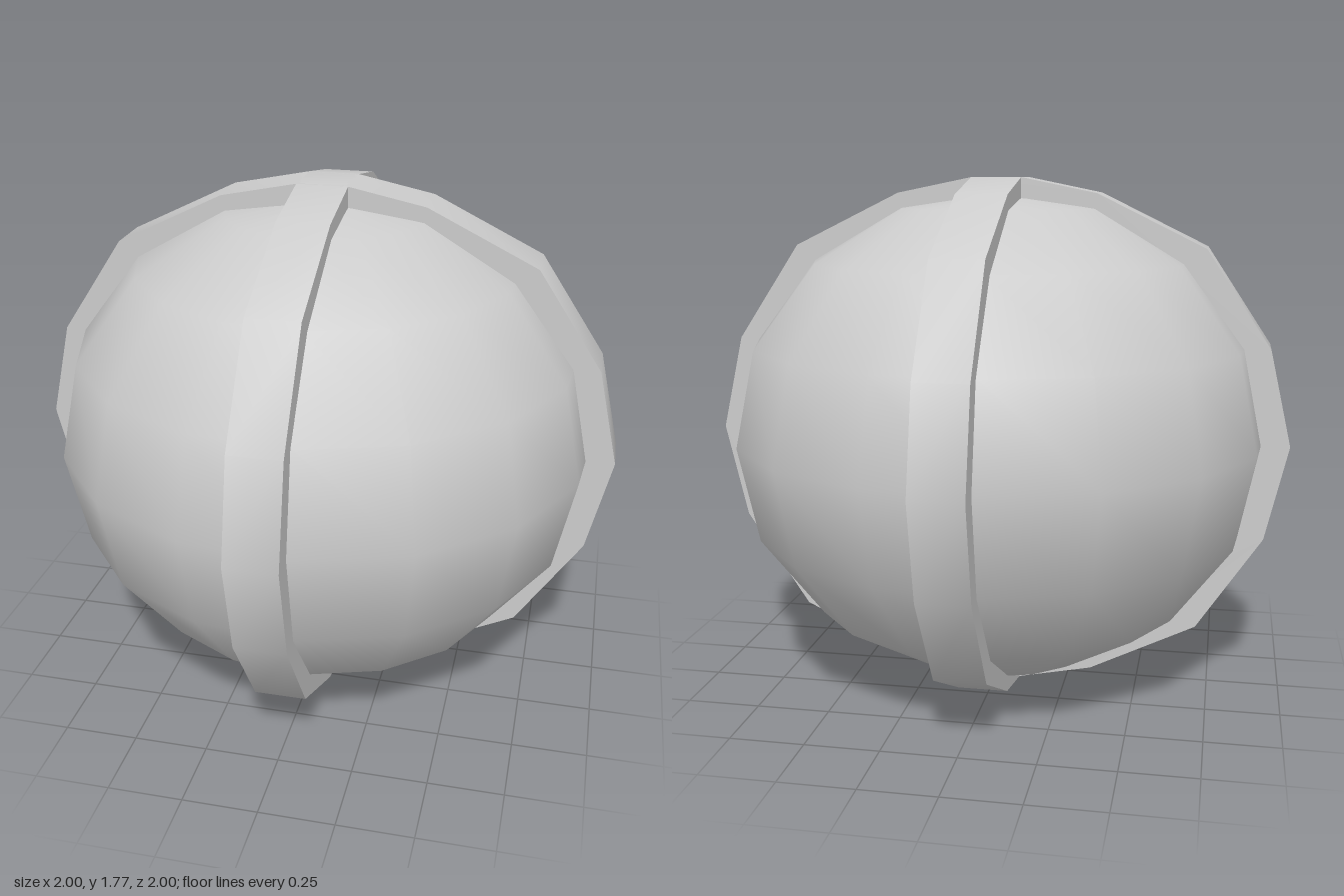
import * as THREE from 'three';
import { toCreasedNormals } from 'three/addons/utils/BufferGeometryUtils.js';

const MID = 0.885;        // height of the ball's equator
const BAND_WIDTH = 0.17;

export function createModel() {
  const group = new THREE.Group();
  const material = new THREE.MeshStandardMaterial({ color: 0xcccccc });

  // Ball: slightly flattened 16-sided sphere, turned a little about its axis
  const upper = [[0.925, 0], [0.857, 0.325], [0.648, 0.603], [0.345, 0.782], [0, 0.835]];
  const profile = [
    ...upper.slice(1).reverse().map(([r, y]) => new THREE.Vector2(r, -y)),
    ...upper.map(([r, y]) => new THREE.Vector2(r, y)),
  ];
  const ball = new THREE.Mesh(
    new THREE.LatheGeometry(profile, 16, THREE.MathUtils.degToRad(6.2)), material);
  ball.name = 'ball';
  ball.position.y = MID;
  group.add(ball);

  // Bands: two crossing straps standing proud of the ball
  const quarter = [[1, 0], [0.925, 0.325], [0.705, 0.654], [0.34, 0.833], [BAND_WIDTH / 2, 0.885]];
  const half = [...quarter, ...quarter.slice().reverse().map(([x, y]) => [-x, y])];
  half.splice(9, 1); // the far equator point starts the lower half
  const outline = [...half, ...half.map(([x, y]) => [-x, -y])];
  const shape = new THREE.Shape(outline.map(([x, y]) => new THREE.Vector2(x, y)));
  const bandGeometry = toCreasedNormals(
    new THREE.ExtrudeGeometry(shape, { depth: BAND_WIDTH, bevelEnabled: false })
      .translate(0, 0, -BAND_WIDTH / 2), 0.8);
  ['sideBand', 'frontBand'].forEach((name, i) => {
    const band = new THREE.Mesh(bandGeometry, material);
    band.name = name;
    band.position.y = MID;
    band.rotation.y = i * Math.PI / 2;
    group.add(band);
  });

  return group;
}
